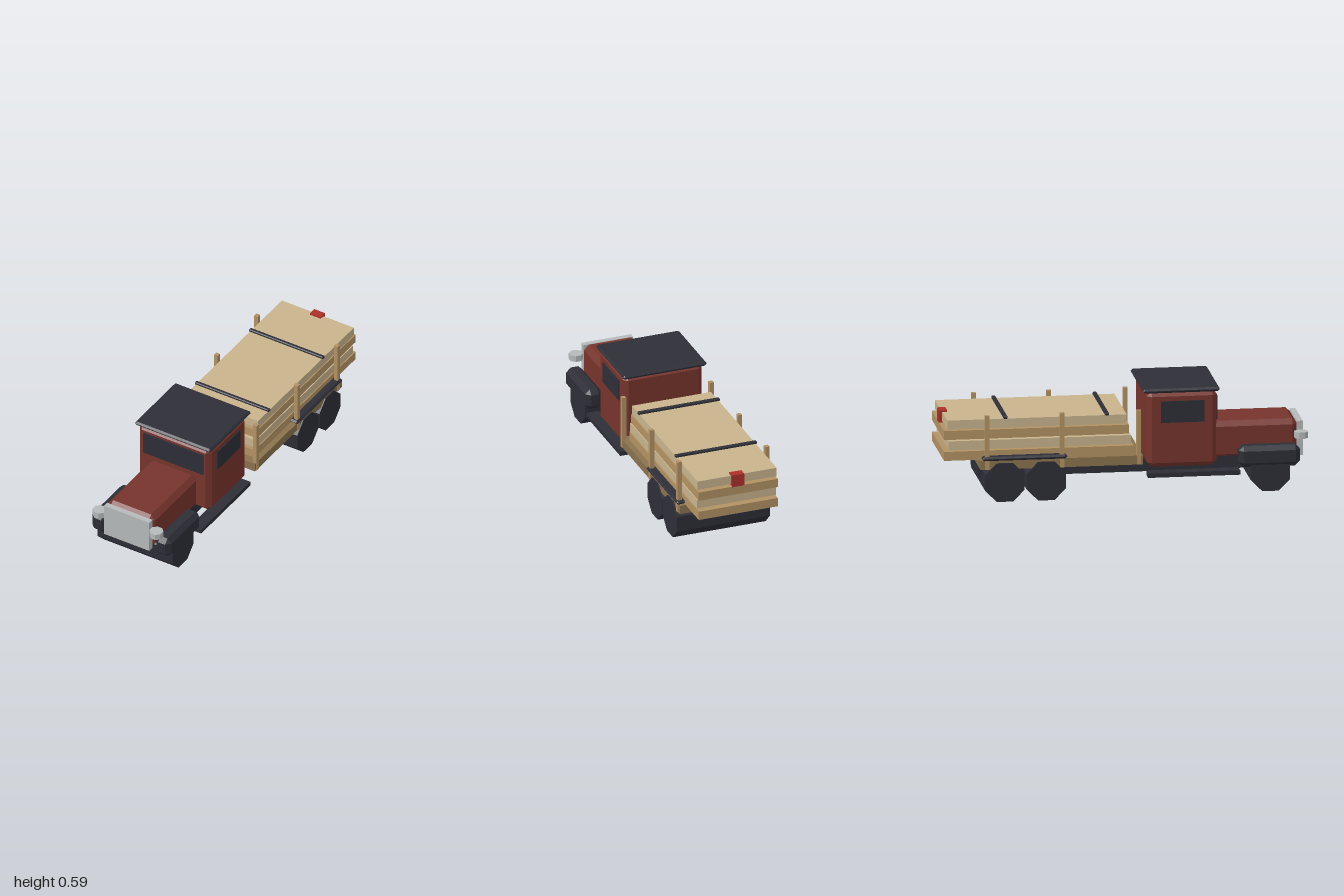
import * as THREE from 'three';
import { ConvexGeometry } from 'three/addons/geometries/ConvexGeometry.js';

const mat = (name, color) => {
  const m = new THREE.MeshStandardMaterial({ color });
  m.name = name;
  m.flatShading = true;
  return m;
};

export function createModel() {
  const red = mat('cab red', 0x76342c);
  const dark = mat('charcoal', 0x2d2e37);
  const metal = mat('pale metal', 0xb5b9b9);
  const lightWood = mat('light wood', 0xc8b48d);
  const tanWood = mat('tan wood', 0xb29263);
  const bedWood = mat('bed wood', 0x8a724d);
  const flagRed = mat('flag red', 0xac3029);

  const truck = new THREE.Group();
  truck.name = 'lumberTruck';

  const add = (name, geometry, material) => {
    const mesh = new THREE.Mesh(geometry, material);
    mesh.name = name;
    truck.add(mesh);
    return mesh;
  };

  // Box given by its extents on each axis
  const box = (name, material, [x0, x1], [y0, y1], [z0, z1]) => {
    const mesh = add(name, new THREE.BoxGeometry(x1 - x0, y1 - y0, z1 - z0), material);
    mesh.position.set((x0 + x1) / 2, (y0 + y1) / 2, (z0 + z1) / 2);
    return mesh;
  };

  // Box with every edge chamfered by b
  const chamferBox = (name, material, [x0, x1], [y0, y1], [z0, z1], b) => {
    const half = [(x1 - x0) / 2, (y1 - y0) / 2, (z1 - z0) / 2];
    const points = [];
    for (const sx of [-1, 1]) for (const sy of [-1, 1]) for (const sz of [-1, 1]) {
      for (let outer = 0; outer < 3; outer++) {
        const p = [sx, sy, sz].map((s, i) => s * (half[i] - (i === outer ? 0 : b)));
        points.push(new THREE.Vector3(...p));
      }
    }
    const mesh = add(name, new ConvexGeometry(points), material);
    mesh.position.set((x0 + x1) / 2, (y0 + y1) / 2, (z0 + z1) / 2);
    return mesh;
  };

  // Eight-sided drum resting on a flat
  const drum = (flatRadius, length) => new THREE.CylinderGeometry(
    flatRadius / Math.cos(Math.PI / 8), flatRadius / Math.cos(Math.PI / 8),
    length, 8, 1, false, Math.PI / 8);

  // Chassis and full-width wheels
  box('chassis', dark, [-0.14, 0.14], [0.11, 0.18], [-0.8, 0.88]);
  for (const [name, z, width] of [
    ['frontWheels', 0.787, 0.48], ['middleWheels', -0.445, 0.54], ['rearWheels', -0.672, 0.54],
  ]) {
    const wheel = add(name, drum(0.1075, width), dark);
    wheel.rotation.z = Math.PI / 2;
    wheel.position.set(0, 0.1075, z);
  }

  // Cab, hood, roof and grille
  chamferBox('cab', red, [-0.23, 0.23], [0.15, 0.57], [0.115, 0.497], 0.025);
  chamferBox('hood', red, [-0.15, 0.15], [0.163, 0.373], [0.48, 0.95], 0.028);
  chamferBox('roof', dark, [-0.243, 0.243], [0.567, 0.591], [0.09, 0.51], 0.01);
  box('windshield', dark, [-0.192, 0.192], [0.4, 0.531], [0.497, 0.505]);
  box('grille', metal, [-0.144, 0.144], [0.17, 0.362], [0.946, 0.978]);

  // Paired parts
  for (const s of [-1, 1]) {
    const side = s > 0 ? 'left' : 'right';
    const span = (a, b) => (s > 0 ? [a, b] : [-b, -a]);

    box(`${side}Window`, dark, span(0.229, 0.235), [0.4, 0.52], [0.188, 0.425]);
    chamferBox(`${side}FrontFender`, dark, span(0.157, 0.253), [0.135, 0.253], [0.615, 0.95], 0.026);
    box(`${side}RunningBoard`, dark, span(0.182, 0.253), [0.1, 0.125], [0.115, 0.62]);
    chamferBox(`${side}RearFender`, dark, span(0.222, 0.277), [0.23, 0.252], [-0.795, -0.33], 0.01);

    const lamp = add(`${side}Headlight`, drum(0.036, 0.035), metal);
    lamp.position.set(s * 0.181, 0.296, 0.964);

    [0.063, -0.357, -0.768].forEach((z, i) => box(`${side}Stake${i + 1}`, tanWood,
      span(0.243, 0.267), [0.18, 0.483], [z - 0.012, z + 0.012]));
  }

  // Flat bed
  box('bed', bedWood, [-0.263, 0.263], [0.18, 0.23], [-0.805, 0.085]);

  // Stacked lumber in alternating shades
  [[0.037, -1], [0.025, -0.975], [0.013, -1], [0, -0.982]].forEach(([front, back], i) => {
    const y = 0.23 + i * 0.0583;
    box(`lumberLayer${i + 1}`, i % 2 ? lightWood : tanWood, [-0.23, 0.23], [y, y + 0.05], [back, front]);
  });

  // Tie-down straps and tail flag
  for (const z of [-0.108, -0.663]) {
    chamferBox('strap', dark, [-0.237, 0.237], [0.453, 0.469], [z - 0.011, z + 0.011], 0.004);
  }
  box('tailFlag', flagRed, [-0.035, 0.035], [0.393, 0.464], [-1.0, -0.955]);

  return truck;
}
